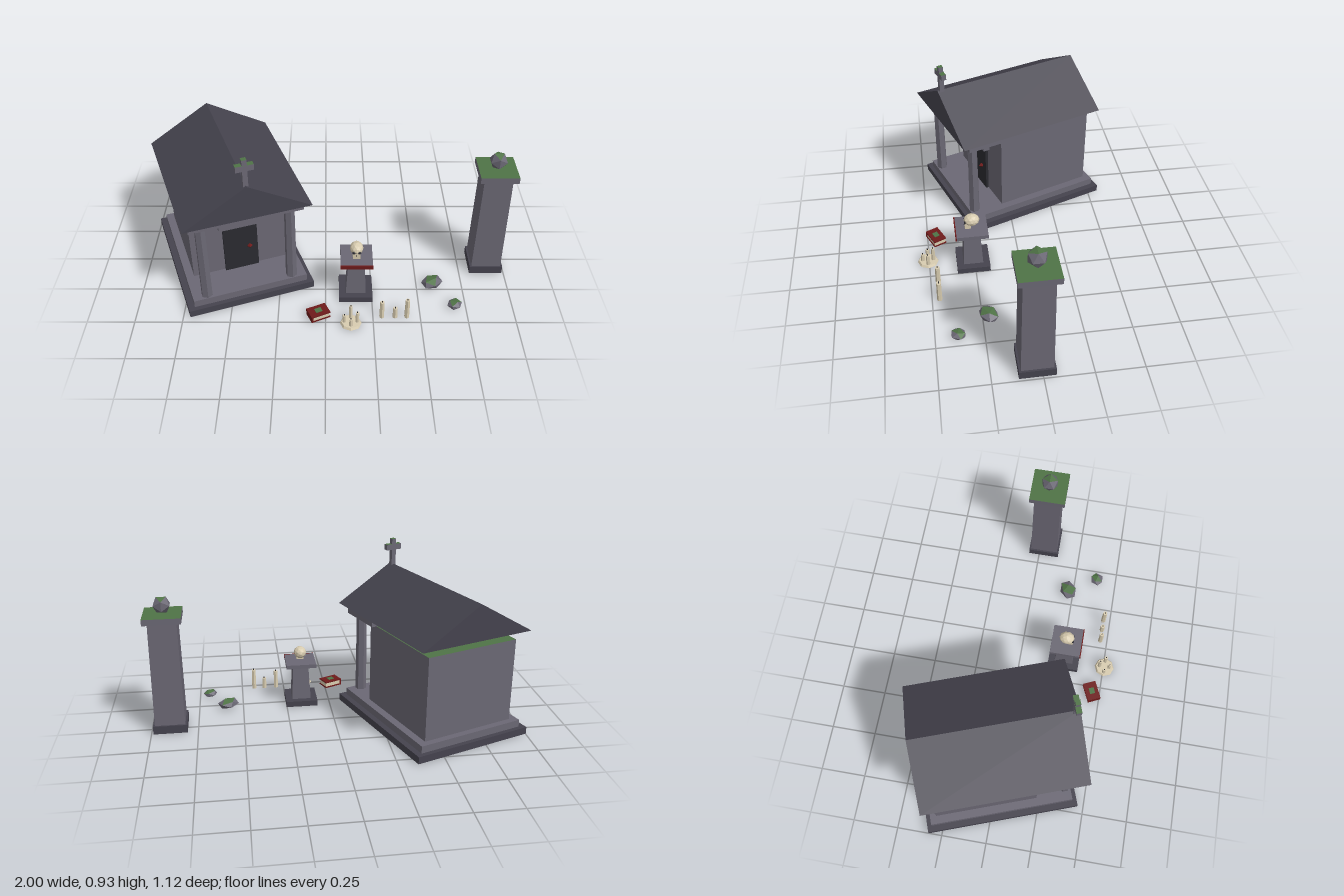
import * as THREE from 'three';

const mat = (name, color) => {
  const m = new THREE.MeshStandardMaterial({ color });
  m.name = name;
  m.flatShading = true;
  return m;
};

export function createModel() {
  const stone = mat('stone', 0x6b6874);
  const slate = mat('dark slate', 0x45434e);
  const mossGreen = mat('moss', 0x4f7346);
  const bone = mat('bone and wax', 0xd8ccb0);
  const red = mat('dark red', 0x6e1a1a);
  const black = mat('near black', 0x2a2a30);

  const root = new THREE.Group();
  root.name = 'graveyard';
  const group = (name, x, z, turn = 0) => {
    const g = new THREE.Group();
    g.name = name;
    g.position.set(x, 0, z);
    g.rotation.y = turn;
    root.add(g);
    return g;
  };
  const add = (parent, name, geo, material, x = 0, y = 0, z = 0) => {
    const m = new THREE.Mesh(geo, material);
    m.name = name;
    m.position.set(x, y, z);
    parent.add(m);
    return m;
  };
  // box given by its bottom and top height
  const block = (parent, name, w, d, y0, y1, material, x = 0, z = 0) =>
    add(parent, name, new THREE.BoxGeometry(w, y1 - y0, d), material, x, (y0 + y1) / 2, z);
  // square post that narrows upward
  const taper = (parent, name, top, bottom, y0, y1, material) => {
    const g = new THREE.CylinderGeometry(top * Math.SQRT1_2, bottom * Math.SQRT1_2, y1 - y0, 4);
    g.rotateY(Math.PI / 4);
    return add(parent, name, g, material, 0, (y0 + y1) / 2, 0);
  };
  // faces that point upward become moss
  const mossy = (mesh, limit = 0.8) => {
    const g = mesh.geometry.index ? mesh.geometry.toNonIndexed() : mesh.geometry;
    g.computeVertexNormals();
    g.clearGroups();
    const n = g.attributes.normal;
    for (let i = 0; i < n.count; i += 3) g.addGroup(i, 3, n.getY(i) > limit ? 1 : 0);
    mesh.geometry = g;
    mesh.material = [mesh.material, mossGreen];
    return mesh;
  };

  // Mausoleum: stepped base, chamber, porch
  const tomb = group('mausoleum', -0.532, -0.046, 0.35);
  block(tomb, 'lowerStep', 0.69, 0.84, 0, 0.04, slate);
  block(tomb, 'upperStep', 0.625, 0.79, 0.04, 0.08, stone);
  mossy(block(tomb, 'chamber', 0.54, 0.56, 0.08, 0.54, stone, 0, -0.08));
  block(tomb, 'porchBeam', 0.6, 0.27, 0.54, 0.59, stone, 0, 0.273);
  for (const s of [-1, 1]) {
    add(tomb, 'column', new THREE.CylinderGeometry(0.028, 0.031, 0.46, 6), stone, s * 0.235, 0.31, 0.362);
  }

  // Gabled roof
  const gable = new THREE.Shape();
  gable.moveTo(-0.333, 0);
  gable.lineTo(0.333, 0);
  gable.lineTo(0, 0.195);
  gable.closePath();
  const roofGeo = new THREE.ExtrudeGeometry(gable, { depth: 0.85, bevelEnabled: false });
  add(tomb, 'roof', roofGeo, slate, 0, 0.59, -0.399);

  // Door with lintel and knob
  block(tomb, 'door', 0.187, 0.03, 0.08, 0.375, black, 0, 0.2);
  mossy(block(tomb, 'doorLintel', 0.235, 0.055, 0.375, 0.41, stone, 0, 0.21));
  add(tomb, 'doorKnob', new THREE.OctahedronGeometry(0.016), red, 0.047, 0.225, 0.222);

  // Roof cross
  mossy(block(tomb, 'crossPost', 0.026, 0.026, 0.76, 0.93, stone, 0, 0.427));
  mossy(block(tomb, 'crossArm', 0.092, 0.028, 0.868, 0.9, stone, 0, 0.427));

  // Gate pillar with ball
  const pillar = group('gatePillar', 0.898, 0.028);
  block(pillar, 'pillarBase', 0.182, 0.182, 0, 0.045, slate);
  taper(pillar, 'pillarShaft', 0.15, 0.162, 0.045, 0.625, stone);
  mossy(block(pillar, 'pillarCap', 0.2, 0.2, 0.625, 0.658, stone));
  mossy(add(pillar, 'pillarBall', new THREE.IcosahedronGeometry(0.05, 0), stone, 0, 0.703, 0));

  // Pedestal with cloth edge
  const pedestal = group('pedestal', 0.163, 0.26);
  block(pedestal, 'pedestalBase', 0.18, 0.18, 0, 0.032, slate);
  taper(pedestal, 'pedestalShaft', 0.086, 0.108, 0.032, 0.235, stone);
  block(pedestal, 'pedestalSlab', 0.17, 0.17, 0.235, 0.257, stone);
  block(pedestal, 'clothEdge', 0.172, 0.006, 0.235, 0.257, red, 0, 0.088);

  // Skull
  const cranium = new THREE.IcosahedronGeometry(1, 1);
  cranium.scale(0.036, 0.034, 0.043);
  add(pedestal, 'cranium', cranium, bone, 0, 0.304, -0.002);
  block(pedestal, 'jaw', 0.04, 0.032, 0.258, 0.288, bone, 0, 0.02);
  for (const s of [-1, 1]) {
    const eye = new THREE.IcosahedronGeometry(0.01, 0);
    eye.scale(1, 1, 0.7);
    add(pedestal, 'eyeSocket', eye, black, s * 0.015, 0.298, 0.034);
  }
  add(pedestal, 'noseHole', new THREE.ConeGeometry(0.005, 0.01, 3), black, 0, 0.281, 0.036);

  // Candles
  const candle = (parent, x, z, h, r) => {
    add(parent, 'candle', new THREE.CylinderGeometry(r * 0.9, r, h, 6), bone, x, h / 2, z);
    add(parent, 'wick', new THREE.CylinderGeometry(0.003, 0.003, 0.008, 4), black, x, h + 0.004, z);
  };
  const cluster = group('candleCluster', 0.132, 0.506);
  add(cluster, 'waxPool', new THREE.CylinderGeometry(0.05, 0.057, 0.012, 8), bone, 0, 0.006, 0);
  candle(cluster, 0, -0.03, 0.092, 0.011);
  candle(cluster, -0.034, 0, 0.055, 0.011);
  candle(cluster, 0.034, 0, 0.075, 0.011);
  candle(cluster, 0, 0.028, 0.055, 0.011);
  const row = group('candleRow', 0, 0.46);
  [[0.296, 0.105], [0.366, 0.063], [0.428, 0.12]].forEach(([x, h]) => candle(row, x, 0, h, 0.014));

  // Book
  const book = group('book', -0.038, 0.452, 0.43);
  block(book, 'backCover', 0.107, 0.074, 0, 0.007, red);
  block(book, 'pages', 0.096, 0.066, 0.007, 0.031, bone, 0.002);
  block(book, 'frontCover', 0.107, 0.074, 0.031, 0.038, red);
  block(book, 'spine', 0.008, 0.074, 0.007, 0.031, red, -0.0495);
  block(book, 'coverMoss', 0.036, 0.03, 0.038, 0.041, mossGreen);

  // Fallen stones
  const rock = (x, z, sx, sy, sz, turn) => {
    const g = new THREE.IcosahedronGeometry(1, 0);
    g.rotateZ(turn * 0.5);
    g.rotateX(turn * 0.4);
    g.scale(sx, sy, sz);
    g.rotateY(turn);
    mossy(add(root, 'fallenStone', g, stone, x, sy * 0.85, z), 0.88);
  };
  rock(0.585, 0.218, 0.064, 0.029, 0.05, 0.5);
  rock(0.69, 0.383, 0.043, 0.021, 0.04, 0.9);

  return root;
}
